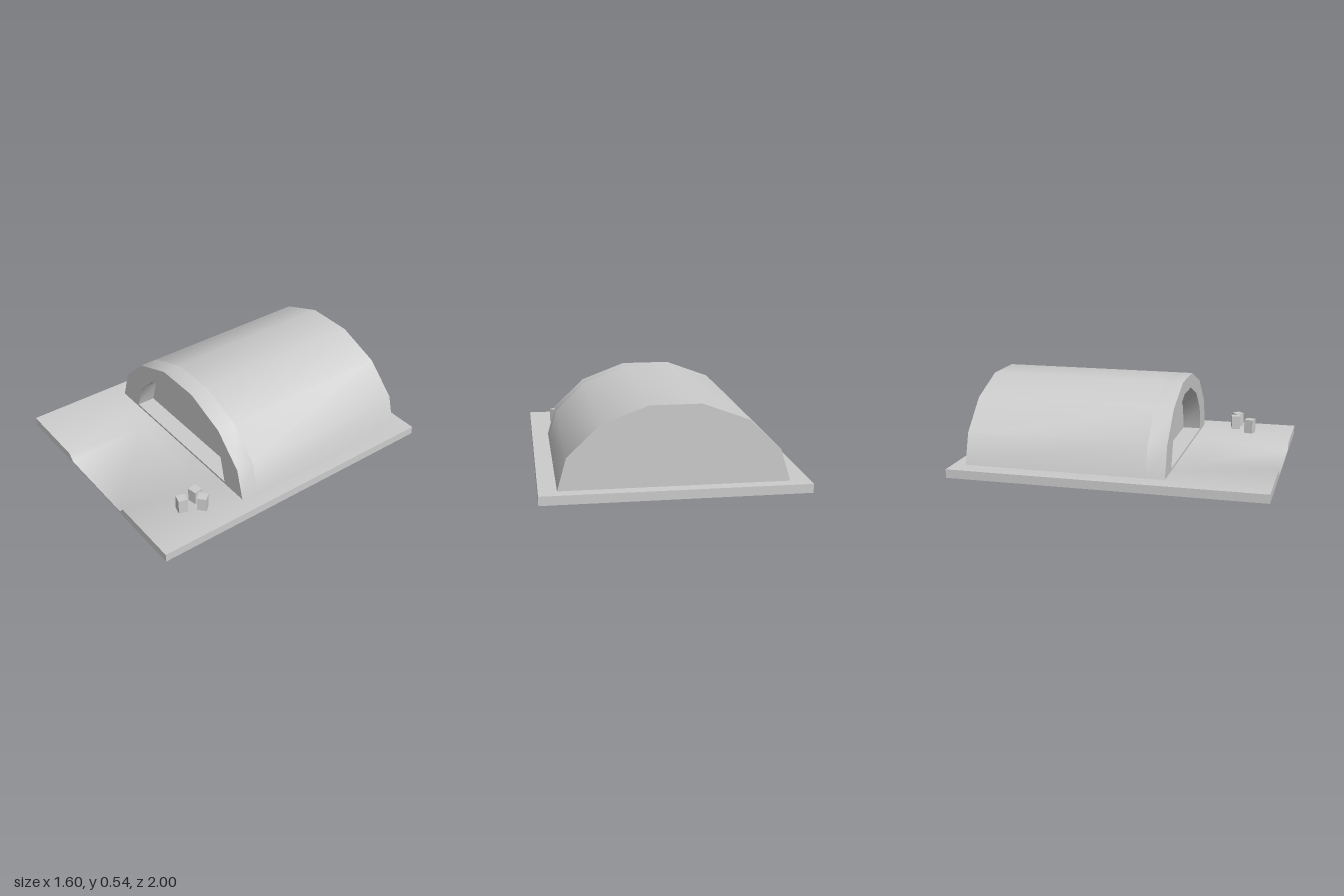
import * as THREE from 'three';
import { toCreasedNormals } from 'three/addons/utils/BufferGeometryUtils.js';

const grey = new THREE.MeshStandardMaterial({ color: 0xcccccc });
const CREASE = 0.87;
const DECK = 0.055;

function part(parent, name, geometry) {
  const mesh = new THREE.Mesh(geometry, grey);
  mesh.name = name;
  parent.add(mesh);
  return mesh;
}

// Slab whose front edge has a shallow sloping ramp cut into it.
function slabGeometry() {
  const v = {
    backL: [-0.8, DECK, -1], backR: [0.8, DECK, -1], frontL: [-0.8, DECK, 1], frontR: [0.8, DECK, 1],
    backLow0: [-0.8, 0, -1], backLow1: [0.8, 0, -1], frontLow0: [-0.8, 0, 1], frontLow1: [0.8, 0, 1],
    lipL: [-0.33, DECK, 1], lipR: [0.33, DECK, 1],
    rampL: [-0.29, 0.012, 1], rampR: [0.29, 0.012, 1],
    headL: [-0.29, DECK, 0.48], headR: [0.29, DECK, 0.48],
  };
  const faces = [
    // deck
    'backL frontL lipL headL', 'backL headL headR backR', 'backR headR lipR frontR',
    // ramp floor and its sloping sides
    'headL rampL rampR headR', 'lipL rampL headL', 'headR rampR lipR',
    // front edge
    'frontLow0 rampL lipL frontL', 'frontLow0 frontLow1 rampR rampL', 'frontLow1 frontR lipR rampR',
    // sides, back, underside
    'frontLow1 backLow1 backR frontR', 'backLow0 frontLow0 frontL backL',
    'backLow1 backLow0 backL backR', 'backLow0 backLow1 frontLow1 frontLow0',
  ];
  const positions = [];
  for (const face of faces) {
    const p = face.split(' ').map((key) => v[key]);
    for (let i = 1; i < p.length - 1; i++) positions.push(...p[0], ...p[i], ...p[i + 1]);
  }
  const geometry = new THREE.BufferGeometry();
  geometry.setAttribute('position', new THREE.Float32BufferAttribute(positions, 3));
  return toCreasedNormals(geometry, CREASE);
}

const toPoints = (list) => list.map(([x, y]) => new THREE.Vector2(x, y));

// Faceted vault outlines, outer roof and doorway
const roofLine = toPoints([
  [-0.68, DECK], [0.69, DECK], [0.635, 0.25], [0.44, 0.435],
  [0.16, 0.54], [-0.15, 0.54], [-0.43, 0.435], [-0.62, 0.25],
]);
const doorLine = toPoints([
  [-0.495, 0.07], [0.505, 0.07], [0.465, 0.235], [0.32, 0.37],
  [0.115, 0.45], [-0.1, 0.45], [-0.305, 0.37], [-0.445, 0.235],
]);

function vault(zBack, zFront, hole) {
  const shape = new THREE.Shape(roofLine);
  if (hole) shape.holes.push(new THREE.Path(hole));
  const geometry = new THREE.ExtrudeGeometry(shape, { depth: zFront - zBack, bevelEnabled: false });
  geometry.translate(0, 0, zBack);
  return toCreasedNormals(geometry, CREASE);
}

export function createModel() {
  const model = new THREE.Group();
  model.name = 'shelter';

  part(model, 'groundSlab', slabGeometry());

  // Vaulted hall with a recessed door behind the front arch
  const hall = new THREE.Group();
  hall.name = 'vaultedHall';
  model.add(hall);
  part(hall, 'hallBody', vault(-0.92, 0.24));
  part(hall, 'entranceArch', vault(0.24, 0.36, doorLine));

  // Crates beside the ramp: x, z, bottom, height, turn in degrees
  const crates = new THREE.Group();
  crates.name = 'crates';
  model.add(crates);
  const layout = [
    [0.54, 0.608, 0.08, 0.09, 12],
    [0.622, 0.61, 0.08, 0.09, 43],
    [0.54, 0.708, DECK, 0.095, -15],
  ];
  layout.forEach(([x, z, bottom, height, turn], i) => {
    const crate = part(crates, `crate${i + 1}`, new THREE.BoxGeometry(0.06, height, 0.06));
    crate.position.set(x, bottom + height / 2, z);
    crate.rotation.y = THREE.MathUtils.degToRad(turn);
  });

  return model;
}
